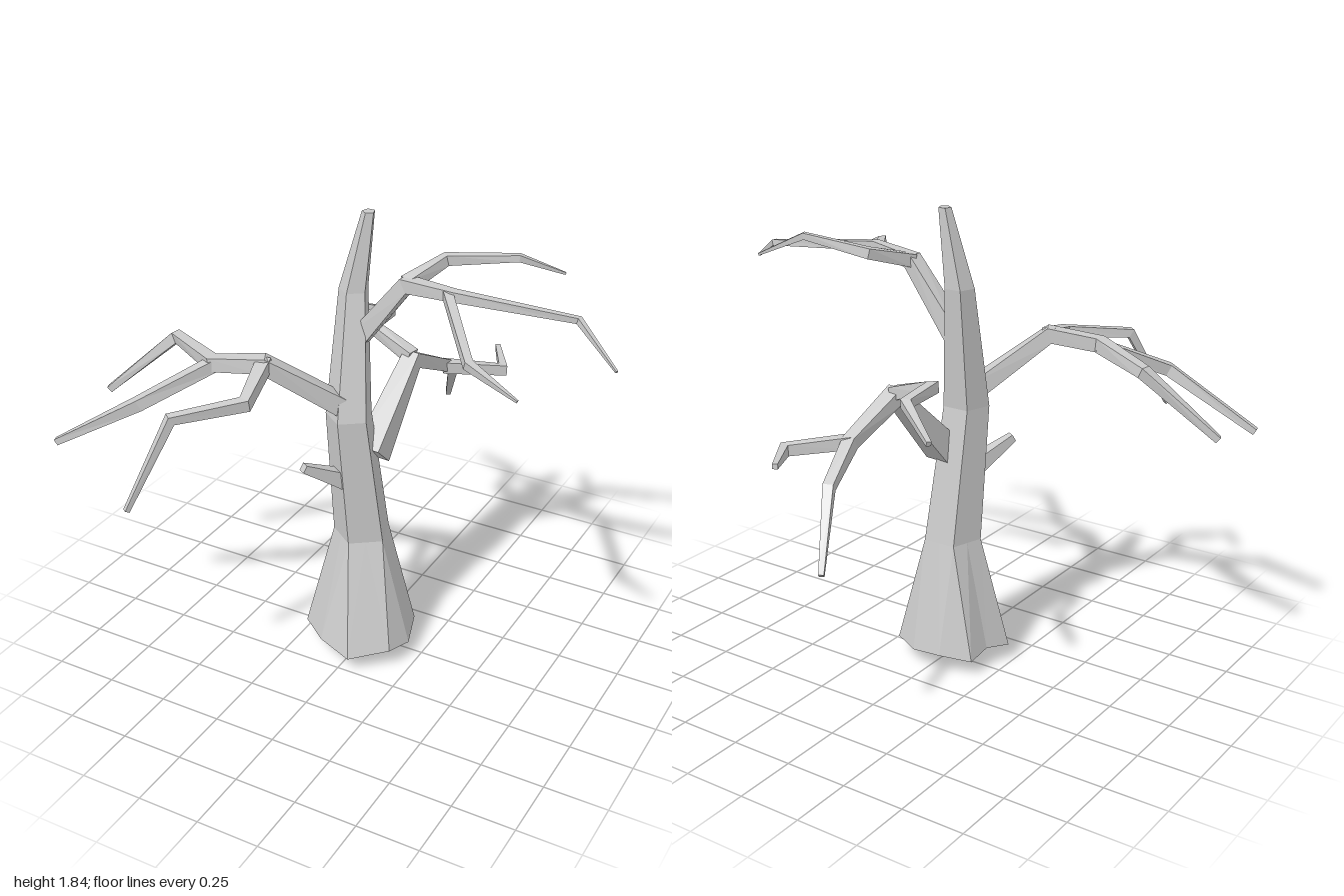
import * as THREE from 'three';

const V = (p) => new THREE.Vector3(p[0], p[1], p[2]);

// Skin a list of equal-sized rings, closing both ends with fans to their centres
function loft(rings, name, startTip, endTip) {
  const pos = [], n = rings[0].length;
  const tri = (a, b, c) => [a, b, c].forEach((p) => pos.push(p.x, p.y, p.z));
  const centre = (r) => r.reduce((s, p) => s.add(p), new THREE.Vector3()).divideScalar(n);
  const last = rings[rings.length - 1];
  const c0 = startTip || centre(rings[0]), c1 = endTip || centre(last);
  for (let j = 0; j < n; j++) {
    const k = (j + 1) % n;
    for (let i = 0; i < rings.length - 1; i++) {
      const a = rings[i], b = rings[i + 1];
      tri(a[j], a[k], b[k]);
      tri(a[j], b[k], b[j]);
    }
    tri(c0, rings[0][k], rings[0][j]);
    tri(c1, last[j], last[k]);
  }
  const geo = new THREE.BufferGeometry();
  geo.setAttribute('position', new THREE.Float32BufferAttribute(pos, 3));
  geo.computeVertexNormals();
  const mesh = new THREE.Mesh(geo, new THREE.MeshStandardMaterial({ color: 0xcccccc, flatShading: true }));
  mesh.name = name;
  return mesh;
}

// Square-section limb along points [x, y, z, radius]
function limb(name, pts) {
  const up = new THREE.Vector3(0, 1, 0);
  const P = pts.map(V);
  const rings = P.map((p, i) => {
    const t = new THREE.Vector3();
    if (i > 0) t.add(p.clone().sub(P[i - 1]).normalize());
    if (i < P.length - 1) t.add(P[i + 1].clone().sub(p).normalize());
    t.normalize();
    const u = t.clone().cross(up).normalize();
    const v = t.clone().cross(u);
    return [0, 1, 2, 3].map((k) => {
      const a = Math.PI / 4 + k * Math.PI / 2;
      return p.clone().addScaledVector(u, pts[i][3] * Math.cos(a)).addScaledVector(v, pts[i][3] * Math.sin(a));
    });
  });
  return loft(rings, name);
}

// Five-sided trunk ring with edge midpoints, so it joins the ten-point root flare
function trunkRing([x, y, z, r]) {
  const corner = (k) => new THREE.Vector3(
    x + r * Math.sin(k * Math.PI * 0.4), y, z + r * Math.cos(k * Math.PI * 0.4));
  const ring = [];
  for (let k = 0; k < 5; k++) ring.push(corner(k), corner(k).lerp(corner(k + 1), 0.5));
  return ring;
}

export function createModel() {
  const tree = new THREE.Group();
  tree.name = 'bareTree';

  // Trunk with uneven root flare and shallow pointed underside
  const roots = [[0.05, 0.26], [0.18, 0.15], [0.21, 0.04], [0.16, -0.11], [0.06, -0.15],
    [-0.07, -0.16], [-0.19, -0.11], [-0.19, 0], [-0.23, 0.1], [-0.1, 0.21]]
    .map(([x, z], i) => new THREE.Vector3(x, i % 2 ? 0.08 : 0.065, z));
  const trunk = [[-0.015, 0.52, 0.015, 0.115], [-0.04, 1.06, 0.07, 0.092],
    [-0.065, 1.54, -0.015, 0.058], [-0.02, 1.84, -0.045, 0.025]].map(trunkRing);
  tree.add(loft([roots, ...trunk], 'trunk', new THREE.Vector3(-0.02, 0, 0.05)));

  // Branches: each limb is a path of [x, y, z, radius]
  const branches = {
    upperLeftBranch: {
      mainLimb: [[-0.04, 1.35, 0, 0.05], [0.16, 1.61, 0, 0.04], [0.37, 1.63, 0.05, 0.027],
        [0.81, 1.6, -0.03, 0.016], [1, 1.5, 0.09, 0.006]],
      frontTwig: [[0.34, 1.63, 0.04, 0.024], [0.59, 1.56, 0.39, 0.022], [0.78, 1.48, 0.41, 0.006]],
      backTwig: [[0.16, 1.61, 0, 0.036], [0.235, 1.66, -0.17, 0.028], [0.5, 1.7, -0.22, 0.018],
        [0.64, 1.63, -0.32, 0.006]],
    },
    frontRightBranch: {
      mainLimb: [[-0.05, 1.11, 0.1, 0.052], [-0.27, 1.32, 0.3, 0.043], [-0.46, 1.3, 0.35, 0.038],
        [-0.73, 1.28, 0.19, 0.03], [-0.99, 1.04, 0.3, 0.018]],
      sideTwig: [[-0.45, 1.3, 0.34, 0.034], [-0.65, 1.18, 0.56, 0.032], [-0.99, 0.97, 0.64, 0.018]],
      frontTwig: [[-0.27, 1.32, 0.29, 0.038], [-0.21, 1.27, 0.52, 0.032], [-0.4, 1.25, 0.71, 0.026],
        [-0.5, 0.93, 0.87, 0.013]],
    },
    backBranch: {
      mainLimb: [[0.025, 0.88, 0.01, 0.075], [0.05, 1.17, -0.27, 0.048], [0.08, 1.05, -0.5, 0.035],
        [0.03, 0.95, -0.69, 0.028], [-0.08, 0.71, -0.88, 0.014]],
      leftTwig: [[0.08, 1.05, -0.49, 0.034], [0.28, 1.02, -0.63, 0.03], [0.18, 1.03, -0.8, 0.014]],
      rightTwig: [[0.05, 1.18, -0.27, 0.036], [-0.15, 1.25, -0.31, 0.03], [-0.16, 1.24, -0.49, 0.026],
        [-0.35, 1.17, -0.62, 0.013]],
    },
    brokenStub: { stub: [[-0.05, 0.79, 0.1, 0.048], [-0.14, 0.89, 0.25, 0.022]] },
  };
  for (const [name, limbs] of Object.entries(branches)) {
    const group = new THREE.Group();
    group.name = name;
    for (const [part, pts] of Object.entries(limbs)) group.add(limb(part, pts));
    tree.add(group);
  }
  return tree;
}
